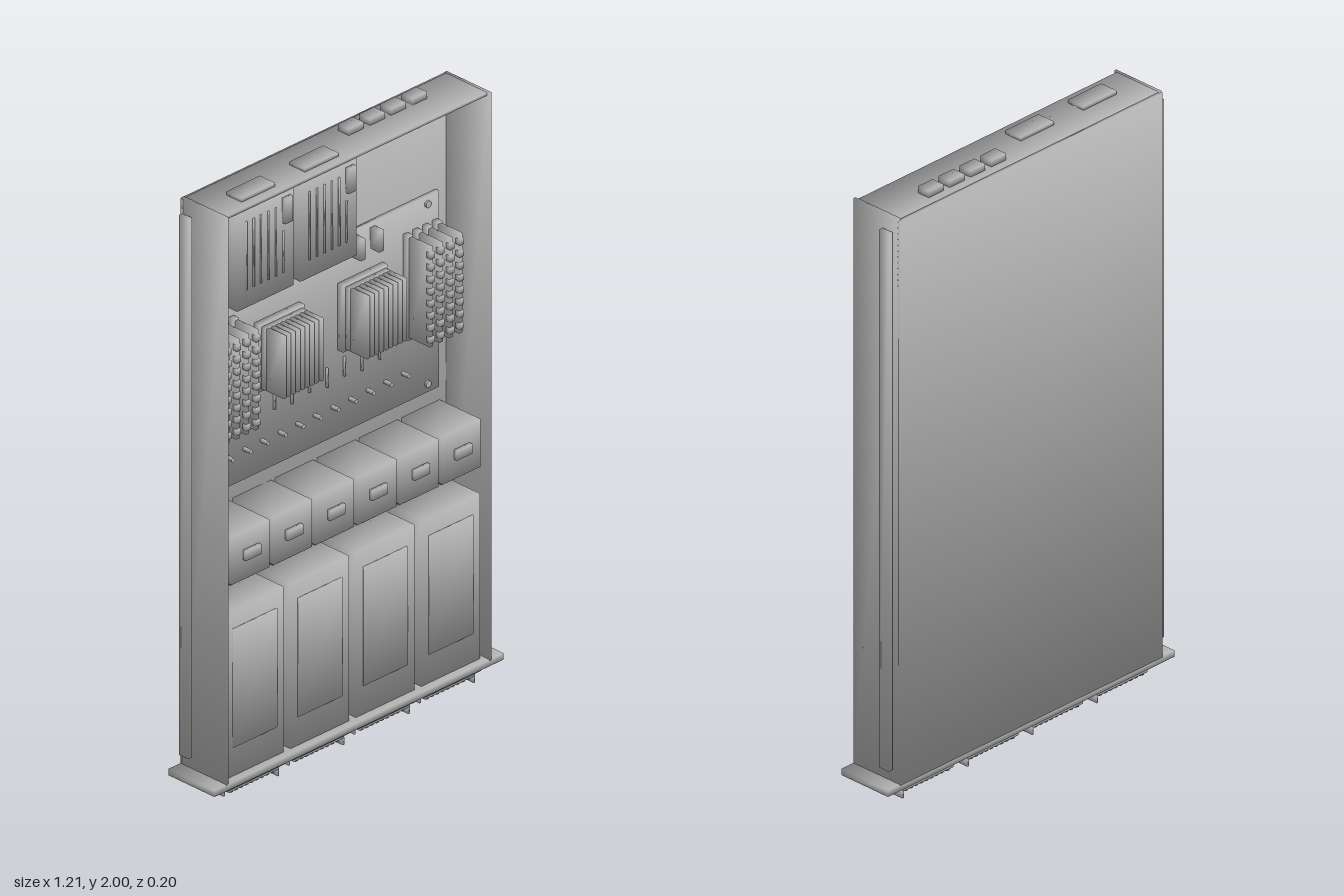
import * as THREE from 'three';

const steel = new THREE.MeshStandardMaterial({ color: 0xb6b6b6 });
steel.name = 'steel grey';

// Box with smooth normals: every corner's normal points out along the diagonal
function softBox(w, h, d) {
  const geo = new THREE.BoxGeometry(w, h, d);
  const p = geo.attributes.position;
  const k = 1 / Math.sqrt(3);
  for (let i = 0; i < p.count; i++) {
    geo.attributes.normal.setXYZ(i, Math.sign(p.getX(i)) * k, Math.sign(p.getY(i)) * k, Math.sign(p.getZ(i)) * k);
  }
  return geo;
}

export function createModel() {
  const root = new THREE.Group();
  root.name = 'rackServer';

  const group = (name) => {
    const g = new THREE.Group();
    g.name = name;
    root.add(g);
    return g;
  };
  // Box given by its limits on each axis
  const box = (parent, name, x0, x1, y0, y1, z0, z1) => {
    const m = new THREE.Mesh(softBox(x1 - x0, y1 - y0, z1 - z0), steel);
    m.position.set((x0 + x1) / 2, (y0 + y1) / 2, (z0 + z1) / 2);
    m.name = name;
    parent.add(m);
  };
  // Round peg pointing to the front
  const peg = (parent, name, x, y, z0, z1, r) => {
    const m = new THREE.Mesh(new THREE.CylinderGeometry(r, r, z1 - z0, 12), steel);
    m.rotation.x = Math.PI / 2;
    m.position.set(x, y, (z0 + z1) / 2);
    m.name = name;
    parent.add(m);
  };

  // Open tray
  const chassis = group('chassis');
  box(chassis, 'floor', -0.555, 0.555, 0.07, 1.975, -0.097, -0.087);
  for (const s of [-1, 1]) {
    const x = s * 0.551;
    box(chassis, 'sideWall', x - 0.004, x + 0.004, 0.07, 1.98, -0.092, 0.095);
  }
  box(chassis, 'rearWall', -0.547, 0.547, 1.968, 1.978, -0.087, 0.085);

  // Slide rails
  for (const s of [-1, 1]) {
    const x = s * 0.574;
    box(chassis, 'slideRail', x - 0.008, x + 0.008, 0.12, 1.935, -0.077, -0.037);
  }

  // Face plate with two rows of drive carriers
  const face = group('facePlate');
  box(face, 'bezel', -0.605, 0.605, 0.052, 0.074, -0.097, 0.095);
  const bayX = [-0.535, -0.262, 0.012, 0.286];
  for (const x of bayX) {
    for (const z of [-0.043, 0.043]) {
      box(face, 'driveCarrier', x, x + 0.245, 0.035, 0.052, z - 0.032, z + 0.032);
      box(face, 'carrierFront', x + 0.015, x + 0.225, 0.024, 0.035, z - 0.027, z + 0.027);
      for (let i = 0; i < 9; i++) {
        const bx = x + 0.028 + i * 0.0215;
        box(face, 'grilleBar', bx, bx + 0.011, 0.016, 0.024, z - 0.02, z + 0.02);
      }
      box(face, 'carrierLatch', x + 0.012, x + 0.018, 0.005, 0.026, z - 0.008, z + 0.008);
      box(face, 'carrierLatch', x + 0.222, x + 0.228, 0, 0.026, z - 0.025, z + 0.025);
    }
  }

  // Drive cages
  const drives = group('driveCages');
  for (const x of bayX) {
    box(drives, 'driveCage', x, x + 0.245, 0.074, 0.63, -0.087, 0.07);
    box(drives, 'cageLid', x + 0.03, x + 0.215, 0.17, 0.57, 0.069, 0.073);
  }

  // Fan modules
  const fans = group('fanModules');
  for (let i = 0; i < 6; i++) {
    const c = -0.444 + i * 0.1768;
    box(fans, 'fanModule', c - 0.08, c + 0.08, 0.73, 0.89, -0.087, 0.085);
    box(fans, 'fanHandle', c - 0.032, c + 0.032, 0.797, 0.83, 0.085, 0.098);
    box(fans, 'fanGuard', c - 0.062, c + 0.062, 0.715, 0.73, -0.065, 0.062);
    for (let j = 0; j < 5; j++) {
      const x = c - 0.045 + j * 0.0225;
      box(fans, 'guardBar', x - 0.005, x + 0.005, 0.703, 0.715, -0.05, 0.05);
    }
  }

  // Main board with its screws
  const board = group('mainBoard');
  const top = -0.073;
  box(board, 'circuitBoard', -0.508, 0.503, 0.945, 1.605, -0.087, top);
  for (const x of [-0.48, 0.453])
    for (const y of [0.975, 1.58]) peg(board, 'screw', x, y, top, -0.065, 0.011);

  // Finned heat sinks
  for (const c of [-0.177, 0.173]) {
    box(board, 'processorSocket', c - 0.094, c + 0.094, 1.23, 1.455, top, -0.05);
    box(board, 'heatSinkBase', c - 0.085, c + 0.085, 1.238, 1.447, -0.05, -0.03);
    for (let i = 0; i < 9; i++) {
      const x = c - 0.078 + i * 0.0195;
      box(board, 'heatSinkFin', x - 0.006, x + 0.006, 1.238, 1.447, -0.03, 0.04);
    }
  }

  // Memory modules, four on each side
  for (const x0 of [-0.49, 0.362]) {
    for (let i = 0; i < 4; i++) {
      const x = x0 + i * 0.0407;
      box(board, 'memorySlot', x - 0.01, x + 0.01, 1.165, 1.515, top, -0.05);
      box(board, 'memoryModule', x - 0.007, x + 0.007, 1.175, 1.51, -0.05, 0.037);
      for (let j = 0; j < 8; j++) {
        const y = 1.2 + j * 0.0405;
        box(board, 'memoryChip', x - 0.009, x + 0.009, y - 0.01, y + 0.01, 0.025, 0.042);
      }
    }
  }

  // Small board parts
  for (let i = 0; i < 10; i++) {
    const x = -0.41 + i * 0.0735;
    const y = i % 2 ? 1.165 : 1.155;
    box(board, 'trace', x - 0.003, x + 0.003, y - 0.03, y + 0.035, top, -0.066);
  }
  for (let i = 0; i < 12; i++) peg(board, 'capacitor', -0.46 + i * 0.0738, 1.048, top, -0.045, 0.007);
  for (const x of [0.148, 0.225]) box(board, 'boardConnector', x - 0.01, x + 0.01, 1.52, 1.59, top, -0.035);

  // Power supplies with vents, handles and rear sockets
  const power = group('powerSupplies');
  for (const x of [-0.5, -0.235]) {
    box(power, 'powerSupply', x, x + 0.235, 1.64, 1.968, -0.087, 0.085);
    for (let i = 0; i < 6; i++) {
      const vx = x + 0.037 + i * 0.031;
      box(power, 'ventRib', vx - 0.003, vx + 0.003, 1.7, i > 4 ? 1.84 : 1.93, 0.084, 0.088);
    }
    box(power, 'supplyHandle', x + 0.188, x + 0.22, 1.868, 1.952, 0.085, 0.099);
  }
  for (const x of [-0.45, -0.185]) box(power, 'powerSocket', x, x + 0.14, 1.978, 1.99, -0.01, 0.054);

  // Rear ports
  const ports = group('rearPorts');
  for (let i = 0; i < 4; i++) {
    const x = 0.068 + i * 0.0885;
    box(ports, 'networkPort', x, x + 0.062, 1.978, 2, -0.06, -0.015);
  }
  return root;
}
